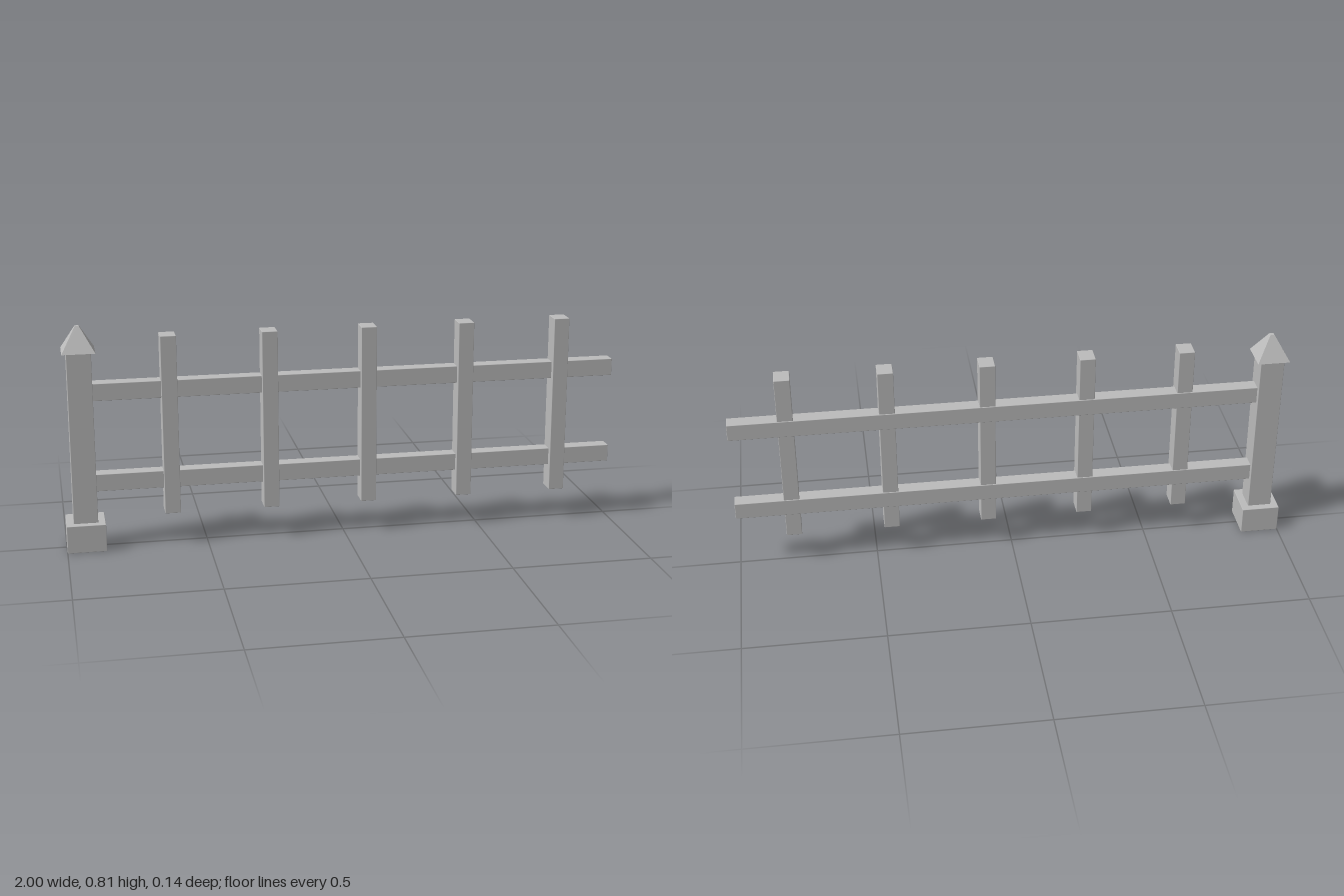
import * as THREE from 'three';
import { RoundedBoxGeometry } from 'three/addons/geometries/RoundedBoxGeometry.js';

export function createModel() {
  const fence = new THREE.Group();
  fence.name = 'fence';
  const stone = new THREE.MeshStandardMaterial({ color: 0xbcbcbc });
  stone.name = 'grey';

  // Slightly softened beam given by its low and high corners
  function beam(name, [x0, y0, z0], [x1, y1, z1]) {
    const geometry = new RoundedBoxGeometry(x1 - x0, y1 - y0, z1 - z0, 1, 0.002);
    const mesh = new THREE.Mesh(geometry, stone);
    mesh.position.set((x0 + x1) / 2, (y0 + y1) / 2, (z0 + z1) / 2);
    mesh.name = name;
    fence.add(mesh);
  }

  // End post on its plinth
  const postX = -0.931;
  beam('postBase', [-1, 0, -0.069], [postX + 0.069, 0.1, 0.069]);
  beam('post', [postX - 0.043, 0.095, -0.043], [postX + 0.043, 0.722, 0.043]);

  // Pyramid cap with a small blunt tip
  const capGeometry = new THREE.CylinderGeometry(0.007 * Math.SQRT2, 0.058 * Math.SQRT2, 0.088, 4, 1)
    .rotateY(Math.PI / 4).toNonIndexed();
  capGeometry.computeVertexNormals();
  const cap = new THREE.Mesh(capGeometry, stone);
  cap.name = 'postCap';
  cap.position.set(postX, 0.761, 0);
  fence.add(cap);

  // Two horizontal rails
  beam('lowerRail', [-0.89, 0.21, -0.026], [1, 0.272, 0.026]);
  beam('upperRail', [-0.89, 0.54, -0.026], [1, 0.602, 0.026]);

  // Evenly spaced pickets, set forward of the rails
  for (let i = 0; i < 5; i++) {
    const x = -0.623 + i * 0.355;
    beam('picket' + (i + 1), [x - 0.028, 0.118, -0.023], [x + 0.028, 0.765, 0.045]);
  }
  return fence;
}
